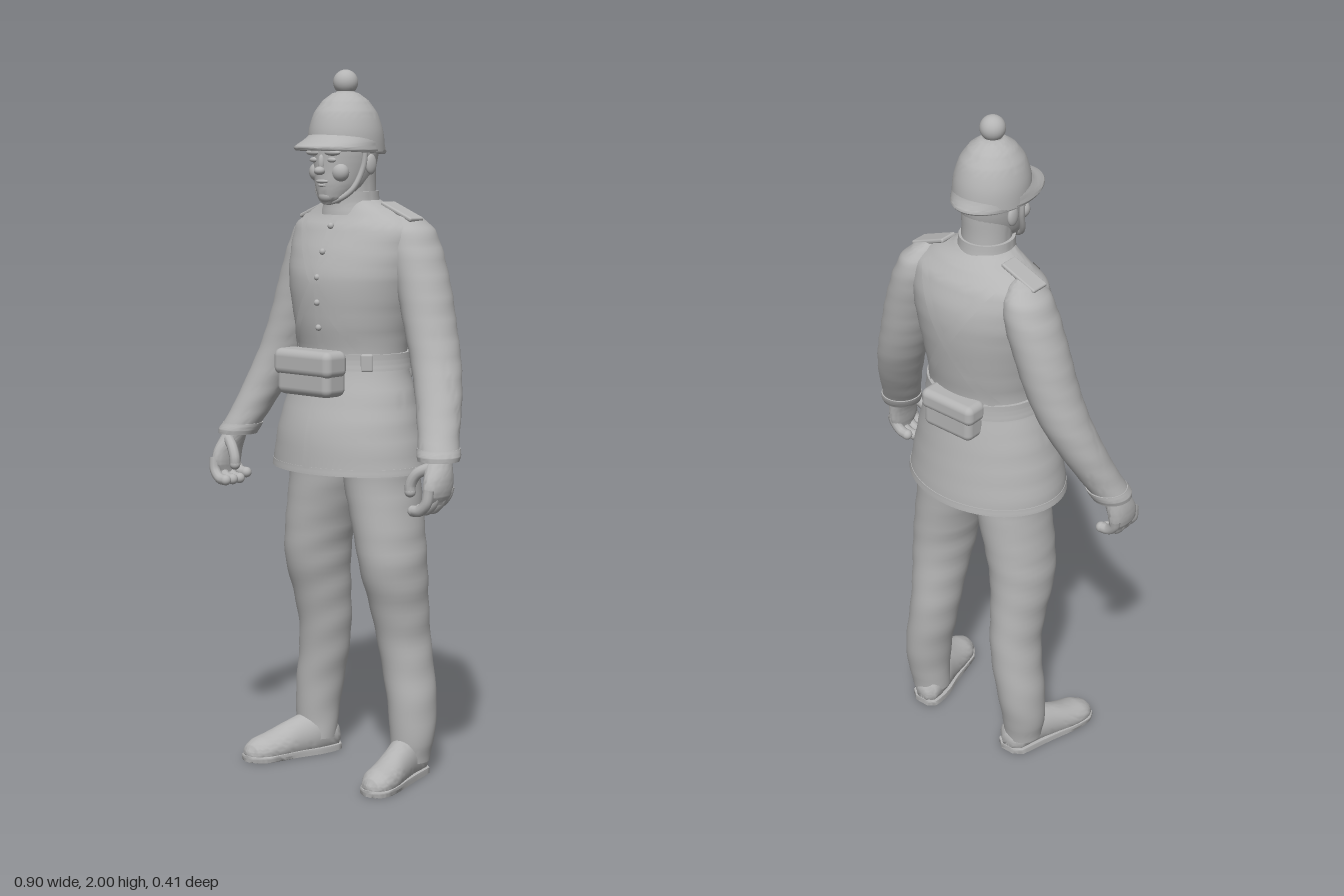
import * as THREE from 'three';
import { mergeGeometries, toCreasedNormals } from 'three/addons/utils/BufferGeometryUtils.js';
import { RoundedBoxGeometry } from 'three/addons/geometries/RoundedBoxGeometry.js';

const grey = new THREE.MeshStandardMaterial({ color: 0xb4b4b4, side: THREE.DoubleSide });
grey.name = 'plain grey';

// Smooth interpolation of one column of a section table
function spline(rows, col, u) {
  const n = rows.length - 1, i = Math.min(Math.floor(u), n - 1), f = u - i;
  const v = k => rows[Math.max(0, Math.min(n, k))][col];
  const [a, b, c, d] = [v(i - 1), v(i), v(i + 1), v(i + 2)];
  return b + 0.5 * f * (c - a + f * (2 * a - 5 * b + 4 * c - d + f * (3 * (b - c) + d - a)));
}

// Loft of elliptical sections [y, cx, cz, rx, rz], listed upwards
function loft(rows, { side = 1, fold = 0, sub = 5, seg = 36 } = {}) {
  const pos = [], idx = [], rings = (rows.length - 1) * sub;
  for (let i = 0; i <= rings; i++) {
    const u = i / sub, f = i === rings ? rows.length - 1 : u;
    const [y, cx, cz, rx, rz] = [0, 1, 2, 3, 4].map(c =>
      c === 0 ? rows[Math.floor(f)][0] + (f % 1) * ((rows[Math.floor(f) + 1] || rows[Math.floor(f)])[0] - rows[Math.floor(f)][0])
        : spline(rows, c, f));
    for (let j = 0; j < seg; j++) {
      const t = j / seg * Math.PI * 2;
      const w = 1 + fold * Math.sin(y * 46 + 2 * Math.sin(t + side) + y * y * 20) * (0.6 + 0.4 * Math.cos(2 * t));
      pos.push(side * cx + rx * w * Math.cos(t), y, cz + rz * w * Math.sin(t));
    }
  }
  for (let i = 0; i < rings; i++) for (let j = 0; j < seg; j++) {
    const a = i * seg + j, b = i * seg + (j + 1) % seg;
    idx.push(a, a + seg, b, b, a + seg, b + seg);
  }
  // End caps
  const first = rows[0], last = rows[rows.length - 1], c = pos.length / 3, top = rings * seg;
  pos.push(side * first[1], first[0], first[2], side * last[1], last[0], last[2]);
  for (let j = 0; j < seg; j++) {
    const k = (j + 1) % seg;
    idx.push(c, j, k, c + 1, top + k, top + j);
  }
  const g = new THREE.BufferGeometry();
  g.setAttribute('position', new THREE.Float32BufferAttribute(pos, 3));
  g.setIndex(idx);
  return g;
}
const smooth = g => toCreasedNormals(g, 0.9);

// Jacket body sections
const body = [
  [0.89, 0, -0.005, 0.243, 0.193], [1.0, 0, -0.003, 0.224, 0.181], [1.1, 0, -0.01, 0.198, 0.158],
  [1.2, 0, -0.015, 0.168, 0.136], [1.3, 0, -0.015, 0.18, 0.15], [1.42, 0, -0.02, 0.205, 0.16],
  [1.5, 0, -0.03, 0.216, 0.147], [1.57, 0, -0.034, 0.212, 0.118], [1.61, 0, -0.03, 0.15, 0.09],
  [1.64, 0, -0.015, 0.085, 0.07]];

function bodyZ(x, y, dir) {
  let i = 0;
  while (i < body.length - 2 && body[i + 1][0] < y) i++;
  const u = i + (y - body[i][0]) / (body[i + 1][0] - body[i][0]);
  const q = Math.min(0.98, Math.abs(x / spline(body, 3, u)));
  return spline(body, 2, u) + dir * spline(body, 4, u) * Math.sqrt(1 - q * q);
}

// Flat band lying on the jacket between two points
function strap([x0, y0], [x1, y1], width, dir, lift = 0.006) {
  const pos = [], idx = [], n = 30, len = Math.hypot(x1 - x0, y1 - y0);
  const nx = -(y1 - y0) / len * width / 2, ny = (x1 - x0) / len * width / 2;
  for (let i = 0; i <= n; i++) for (const s of [-1, 0, 1]) {
    const x = x0 + (x1 - x0) * i / n + s * nx, y = y0 + (y1 - y0) * i / n + s * ny;
    pos.push(x, y, bodyZ(x, y, dir) + dir * lift);
  }
  for (let i = 0; i < n; i++) for (const k of [0, 1]) {
    const a = i * 3 + k, q = [a, a + 1, a + 3, a + 1, a + 4, a + 3];
    idx.push(...((dir > 0) === (nx * (y1 - y0) - ny * (x1 - x0) < 0) ? q.reverse() : q));
  }
  const g = new THREE.BufferGeometry();
  g.setAttribute('position', new THREE.Float32BufferAttribute(pos, 3));
  g.setIndex(idx);
  g.computeVertexNormals();
  if (g.attributes.normal.getZ(45) * dir < 0) { g.setIndex(idx.reverse()); g.computeVertexNormals(); }
  return g;
}

function ball(r, x, y, z, sx = 1, sy = 1, sz = 1) {
  return new THREE.SphereGeometry(r, 24, 16).scale(sx, sy, sz).translate(x, y, z);
}
function finger(points, r) {
  const pts = points.map(p => new THREE.Vector3(...p));
  return mergeGeometries([new THREE.TubeGeometry(new THREE.CatmullRomCurve3(pts), 14, r, 10),
    ball(r, ...points[points.length - 1])]);
}
function box(w, h, d, r, x, y, z, rz = 0, ry = 0) {
  return new RoundedBoxGeometry(w, h, d, 4, r).rotateZ(rz).rotateY(ry).translate(x, y, z);
}

// Boot sections run from heel to toe: [z, cx, -cy, rx, ry]
const bootRows = [[-0.118, 0.172, -0.035, 0.022, 0.025], [-0.1, 0.174, -0.045, 0.044, 0.05],
  [-0.03, 0.186, -0.055, 0.05, 0.065], [0.03, 0.205, -0.045, 0.049, 0.058], [0.09, 0.222, -0.033, 0.052, 0.046],
  [0.14, 0.232, -0.028, 0.049, 0.037], [0.168, 0.237, -0.023, 0.033, 0.027], [0.178, 0.238, -0.02, 0.014, 0.014]];
function boot(side, high, grow) {
  const rows = bootRows.map(([z, x, y, rx, ry]) => [z * (grow ? 1.02 : 1), x, grow ? -0.01 : y, rx + grow, ry]);
  const g = loft(rows, { side }).rotateX(Math.PI / 2), p = g.attributes.position;
  for (let i = 0; i < p.count; i++) p.setY(i, Math.min(high, Math.max(0, p.getY(i))));
  return smooth(g);
}

export function createModel() {
  const model = new THREE.Group();
  const add = (name, g) => {
    const m = new THREE.Mesh(g, grey);
    m.name = name;
    model.add(m);
  };

  // Jacket, collar and buttons
  add('jacket', smooth(loft(body, { fold: 0.006, seg: 56 })));
  add('hemBand', smooth(loft([[0.885, 0, -0.005, 0.246, 0.196], [0.905, 0, -0.005, 0.243, 0.194]], { seg: 56 })));
  add('collar', smooth(loft([[1.6, 0, -0.012, 0.09, 0.086], [1.63, 0, -0.01, 0.08, 0.08], [1.665, 0, -0.008, 0.077, 0.077]])));
  add('seat', ball(0.12, 0, 0.93, -0.02, 1.5, 0.65, 0.95));
  add('frontEdge', strap([0.012, 0.9], [0.012, 1.6], 0.022, 1, 0.003));
  for (let i = 0; i < 5; i++) {
    const y = 1.29 + i * 0.07;
    add('button', ball(0.009, 0.012, y, bodyZ(0, y, 1) + 0.004));
  }

  // Crossed straps and belt
  for (const s of [-1, 1]) {
    add('frontStrap', strap([s * 0.125, 1.595], [-s * 0.13, 1.22], 0.026, 1, s > 0 ? 0.007 : 0.004));
    add('backStrap', strap([s * 0.12, 1.595], [-s * 0.12, 1.22], 0.028, -1, s > 0 ? 0.007 : 0.004));
    add('beltClip', box(0.035, 0.05, 0.02, 0.006, s * 0.135, 1.195, 0.073, 0, s * 0.75));
  }
  add('belt', smooth(loft([[1.172, 0, -0.014, 0.182, 0.149], [1.195, 0, -0.015, 0.178, 0.146], [1.218, 0, -0.015, 0.177, 0.145]], { seg: 56 })));

  // Pouches with overlapping flaps
  add('frontPouch', box(0.2, 0.12, 0.085, 0.022, 0, 1.162, 0.155));
  add('frontPouchFlap', box(0.216, 0.075, 0.088, 0.022, 0, 1.193, 0.16));
  add('backPouch', box(0.168, 0.11, 0.07, 0.02, -0.005, 1.172, -0.158));
  add('backPouchFlap', box(0.182, 0.06, 0.074, 0.02, -0.005, 1.2, -0.16));

  for (const s of [-1, 1]) {
    // Sleeve, cuff and shoulder strap
    add('sleeve', smooth(loft([[0.955, 0.389, 0.062, 0.055, 0.056], [1.03, 0.361, 0.03, 0.058, 0.06], [1.1, 0.335, 0, 0.063, 0.066],
      [1.2, 0.297, -0.032, 0.068, 0.073], [1.3, 0.261, -0.048, 0.071, 0.078], [1.4, 0.231, -0.056, 0.073, 0.081],
      [1.5, 0.199, -0.06, 0.07, 0.082], [1.56, 0.182, -0.06, 0.058, 0.072], [1.595, 0.17, -0.056, 0.034, 0.046],
      [1.61, 0.16, -0.053, 0.012, 0.018]], { side: s, fold: 0.02 })));
    add('cuff', smooth(loft([[0.948, 0.391, 0.064, 0.056, 0.058], [0.962, 0.388, 0.06, 0.06, 0.062], [0.98, 0.381, 0.052, 0.059, 0.06]], { side: s })));
    add('shoulderStrap', box(0.12, 0.012, 0.056, 0.005, s * 0.158, 1.61, -0.045, -s * 0.38));

    // Hand with curled fingers
    add('palm', smooth(loft([[0.835, 0.409, 0.092, 0.016, 0.036], [0.86, 0.412, 0.092, 0.024, 0.053], [0.9, 0.41, 0.086, 0.029, 0.052],
      [0.94, 0.4, 0.073, 0.032, 0.042], [0.98, 0.388, 0.06, 0.03, 0.034]], { side: s })));
    for (let i = 0; i < 4; i++) {
      const z = 0.05 + i * 0.028, d = i === 0 ? 0.014 : 0;
      add('finger', finger([[s * 0.418, 0.88, z], [s * 0.412, 0.842 + d, z + 0.004], [s * 0.39, 0.82 + d, z + 0.006],
        [s * 0.366, 0.817 + d, z + 0.005]], 0.0155));
    }
    add('thumb', finger([[s * 0.395, 0.935, 0.1], [s * 0.36, 0.915, 0.118], [s * 0.343, 0.885, 0.124], [s * 0.342, 0.865, 0.124]], 0.0155));

    // Trouser leg and boot
    add('trouserLeg', smooth(loft([[0.045, 0.184, -0.058, 0.056, 0.058], [0.1, 0.188, -0.062, 0.062, 0.064], [0.2, 0.184, -0.068, 0.067, 0.075],
      [0.3, 0.168, -0.069, 0.07, 0.079], [0.4, 0.155, -0.062, 0.071, 0.085], [0.5, 0.152, -0.045, 0.077, 0.094],
      [0.6, 0.149, -0.026, 0.086, 0.107], [0.7, 0.136, -0.022, 0.092, 0.113], [0.85, 0.108, -0.022, 0.102, 0.118],
      [0.95, 0.1, -0.02, 0.108, 0.12]], { side: s, fold: 0.022 })));
    add('boot', boot(s, 1, 0));
    add('sole', boot(s, 0.018, 0.003));

    // Ears, eyes and brows
    add('ear', ball(0.026, s * 0.082, 1.74, 0.0, 0.4, 1.1, 0.75));
    add('eye', ball(0.012, s * 0.034, 1.752, 0.107, 1.3, 0.6, 0.6));
    add('brow', ball(0.022, s * 0.035, 1.772, 0.106, 1.3, 0.4, 0.55));
    add('cheek', ball(0.03, s * 0.042, 1.718, 0.082, 0.9, 0.9, 0.8));
  }

  // Head and face
  add('neck', smooth(loft([[1.6, 0, -0.012, 0.07, 0.07], [1.68, 0, -0.008, 0.068, 0.07], [1.74, 0, 0, 0.07, 0.08]])));
  add('head', smooth(loft([[1.632, 0, 0.072, 0.024, 0.028], [1.645, 0, 0.062, 0.042, 0.046], [1.68, 0, 0.034, 0.064, 0.08],
    [1.72, 0, 0.02, 0.076, 0.094], [1.77, 0, 0.014, 0.084, 0.1], [1.82, 0, 0.012, 0.084, 0.1]])));
  add('nose', ball(0.016, 0, 1.722, 0.12, 1, 0.75, 1));
  add('noseBridge', ball(0.011, 0, 1.743, 0.113, 0.9, 2.2, 0.9));
  add('upperLip', ball(0.022, 0, 1.693, 0.107, 1.1, 0.3, 0.55));
  add('lowerLip', ball(0.019, 0, 1.682, 0.106, 1, 0.3, 0.55));
  add('chin', ball(0.024, 0, 1.652, 0.092, 1.1, 0.8, 0.8));
  add('chinStrap', new THREE.TubeGeometry(new THREE.CatmullRomCurve3([[-0.09, 1.79, 0.03], [-0.084, 1.73, 0.035], [-0.062, 1.665, 0.062],
    [0, 1.635, 0.088], [0.062, 1.665, 0.062], [0.084, 1.73, 0.035], [0.09, 1.79, 0.03]].map(p => new THREE.Vector3(...p))), 50, 0.008, 8));

  // Helmet dome, peaked brim and ball finial
  add('helmetDome', smooth(loft([[1.775, 0, 0.012, 0.104, 0.112], [1.83, 0, 0.014, 0.101, 0.108], [1.88, 0, 0.015, 0.086, 0.092],
    [1.915, 0, 0.015, 0.062, 0.066], [1.935, 0, 0.015, 0.036, 0.038], [1.942, 0, 0.015, 0.012, 0.012]], { seg: 48 })));
  const brim = loft([[1.773, 0, 0.036, 0.104, 0.146], [1.779, 0, 0.036, 0.107, 0.15], [1.786, 0, 0.034, 0.106, 0.144],
    [1.803, 0, 0.022, 0.104, 0.122], [1.82, 0, 0.014, 0.1, 0.108]], { seg: 48 });
  add('helmetBrim', smooth(brim.translate(0, -1.79, 0).rotateX(-0.05).translate(0, 1.788, 0)));
  add('finialBase', new THREE.CylinderGeometry(0.02, 0.032, 0.022, 24).translate(0, 1.938, 0.015));
  add('finialBall', ball(0.035, 0, 1.965, 0.015));
  return model;
}
